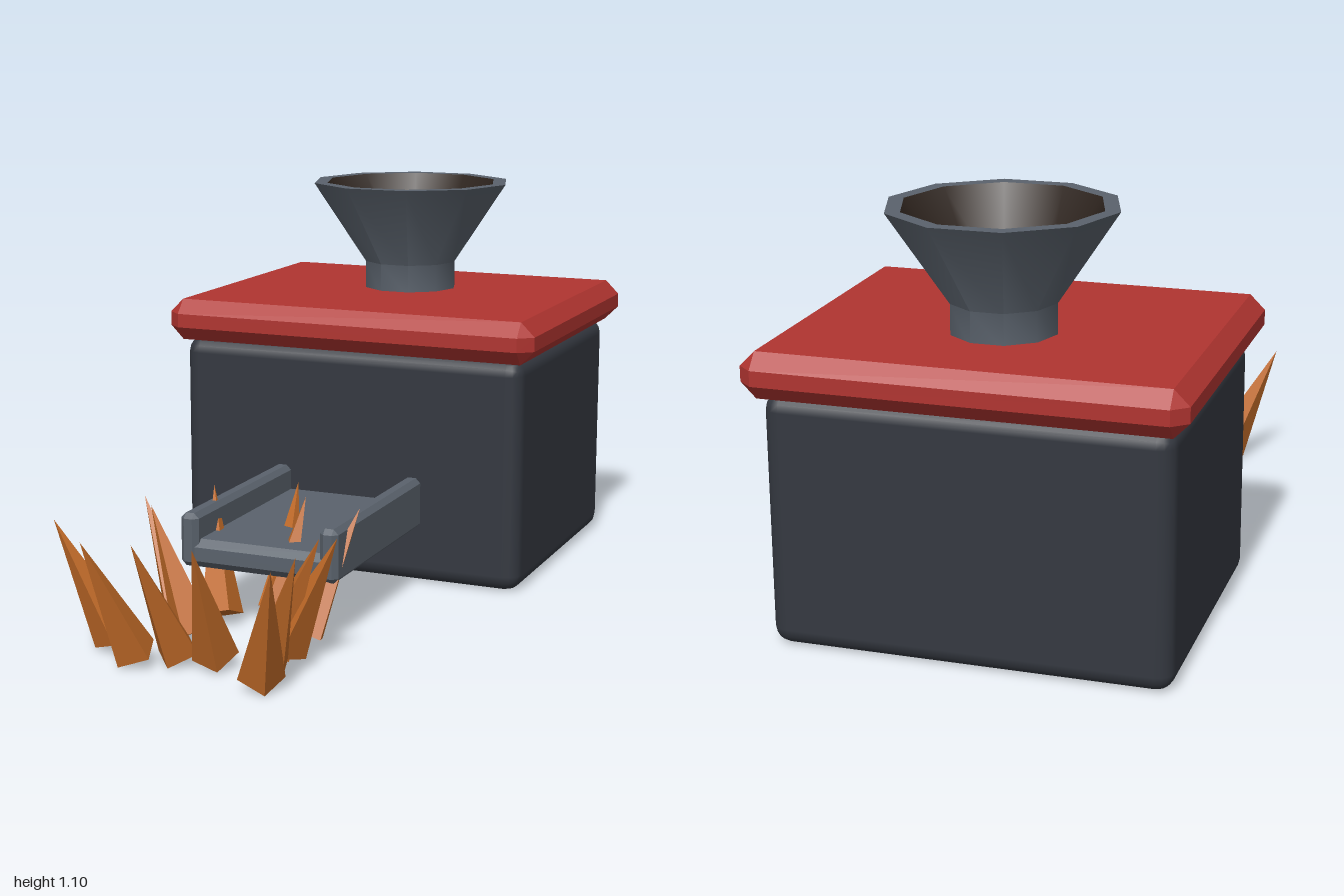
import * as THREE from 'three';
import { toCreasedNormals } from 'three/addons/utils/BufferGeometryUtils.js';
import { RoundedBoxGeometry } from 'three/addons/geometries/RoundedBoxGeometry.js';
import { ConvexGeometry } from 'three/addons/geometries/ConvexGeometry.js';

const paint = (color, extra = {}) => new THREE.MeshStandardMaterial({ color, ...extra });

// Box between two corners whose edges are cut by a separate inset on each axis
function chamferedBox(min, max, inset) {
  const points = [];
  for (let corner = 0; corner < 8; corner++) {
    for (let full = 0; full < 3; full++) {
      const p = [0, 1, 2].map((axis) => {
        const cut = axis === full ? 0 : inset[axis];
        return (corner >> axis) & 1 ? max[axis] - cut : min[axis] + cut;
      });
      points.push(new THREE.Vector3(...p));
    }
  }
  return new ConvexGeometry(points);
}

// Ten-sided turned surface with corners on the x axis
function turned(profile) {
  const points = profile.map(([r, y]) => new THREE.Vector2(r, y));
  const lathe = new THREE.LatheGeometry(points, 10, Math.PI / 10);
  return toCreasedNormals(lathe, THREE.MathUtils.degToRad(40));
}

export function createModel() {
  const model = new THREE.Group();
  model.name = 'chipper';

  function add(name, geometry, material, parent = model) {
    const mesh = new THREE.Mesh(geometry, material);
    mesh.name = name;
    parent.add(mesh);
    return mesh;
  }

  const bodyPaint = paint(0x343840);
  const lidPaint = paint(0xb03430, { flatShading: true });
  const steel = paint(0x5a626c);
  const steelFlat = paint(0x5a626c, { flatShading: true });
  const darkInside = paint(0x2e241e);
  const wood = paint(0xc06a28, { flatShading: true });

  // Housing and lid
  add('body', new RoundedBoxGeometry(1.04, 0.665, 0.83, 2, 0.045), bodyPaint)
    .position.set(0, 0.338, -0.535);
  add('lid', chamferedBox([-0.56, 0.665, -1], [0.56, 0.785, -0.08], [0.04, 0.04, 0.035]), lidPaint);

  // Feed hopper: outer wall with rim, and dark funnel inside
  const hopper = new THREE.Group();
  hopper.name = 'hopper';
  hopper.position.z = -0.62;
  model.add(hopper);
  add('hopperWall', turned([[0.14, 0.77], [0.14, 0.865], [0.3, 1.105], [0.26, 1.105]]), steel, hopper);
  add('hopperInside', turned([[0.26, 1.105], [0.108, 0.87], [0, 0.87]]), darkInside, hopper);

  // Discharge chute with two side rails
  const chute = new THREE.Group();
  chute.name = 'chute';
  model.add(chute);
  add('chuteFloor', chamferedBox([-0.2, 0.165, -0.14], [0.2, 0.243, 0.48], [0.01, 0.02, 0.02]), steelFlat, chute);
  for (const [name, x] of [['rightRail', -0.202], ['leftRail', 0.202]]) {
    add(name, chamferedBox([x - 0.026, 0.168, -0.14], [x + 0.026, 0.314, 0.485], [0.014, 0.014, 0.014]), steelFlat, chute);
  }

  // Leaning wood splinters around the chute mouth: base x, z and tip x, z
  const splinters = new THREE.Group();
  splinters.name = 'woodSplinters';
  model.add(splinters);
  const layout = [
    [-0.285, 0.735, -0.425, 0.795], [-0.19, 0.54, -0.33, 0.485],
    [-0.12, 0.62, -0.265, 0.57], [-0.18, 0.82, -0.255, 0.955],
    [-0.085, 0.77, -0.13, 0.925], [0.015, 0.76, 0.03, 0.91],
    [0.19, 0.86, 0.28, 0.995], [0.165, 0.765, 0.285, 0.865],
    [0.15, 0.635, 0.31, 0.67], [0.12, 0.64, 0.27, 0.69],
    [0.15, 0.5, 0.25, 0.38], [0, 0.34, -0.01, 0.195],
    [0.04, 0.47, 0.073, 0.33], [-0.125, 0.44, -0.21, 0.31],
  ];
  const up = new THREE.Vector3(0, 1, 0);
  layout.forEach(([bx, bz, tx, tz], i) => {
    const base = new THREE.Vector3(bx, 0.035, bz);
    const axis = new THREE.Vector3(tx, 0.353, tz).sub(base);
    const cone = new THREE.ConeGeometry(0.06, axis.length(), 4);
    cone.translate(0, axis.length() / 2, 0);
    cone.rotateY(Math.atan2(axis.x, axis.z) + (i % 3) * 0.2);
    const splinter = add('splinter' + (i + 1), cone, wood, splinters);
    splinter.position.copy(base);
    splinter.quaternion.setFromUnitVectors(up, axis.normalize());
  });

  return model;
}
